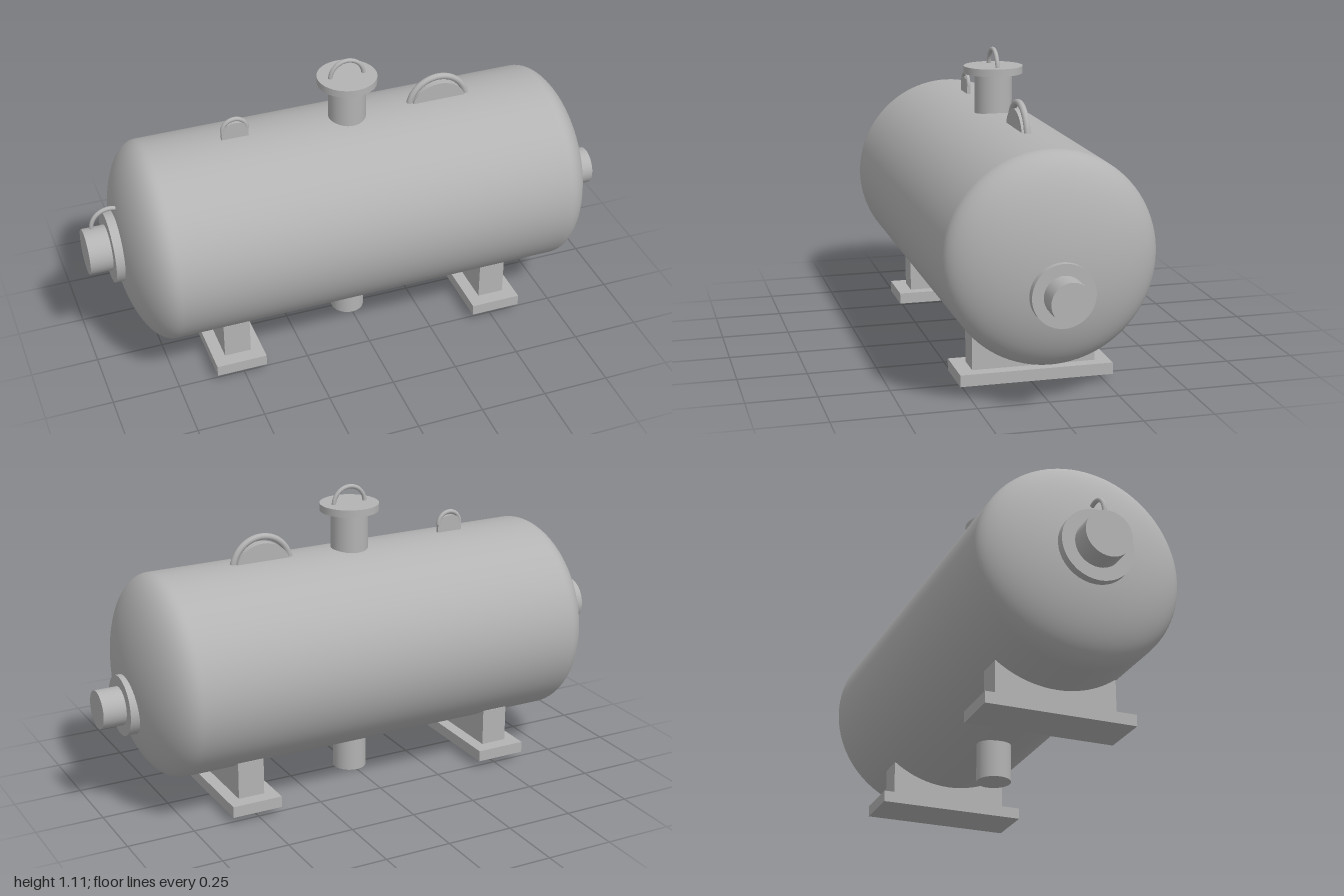
import * as THREE from 'three';

export function createModel() {
  const model = new THREE.Group();
  model.name = 'pressureVessel';
  const steel = new THREE.MeshStandardMaterial({ color: 0xb3b3b3 });
  steel.name = 'grey steel';

  const add = (name, geometry, x, y, z = 0) => {
    const mesh = new THREE.Mesh(geometry, steel);
    mesh.name = name;
    mesh.position.set(x, y, z);
    model.add(mesh);
    return mesh;
  };
  // Cylinder spanning a..b along x or y
  const pipeX = (name, r, a, b, y) =>
    add(name, new THREE.CylinderGeometry(r, r, b - a, 40).rotateZ(Math.PI / 2), (a + b) / 2, y);
  const pipeY = (name, r, a, b, x) =>
    add(name, new THREE.CylinderGeometry(r, r, b - a, 40), x, (a + b) / 2);
  // Half-ring standing in the xy plane
  const ring = (name, r, tube, x, y) =>
    add(name, new THREE.TorusGeometry(r, tube, 12, 36, Math.PI), x, y);

  // Shell
  const R = 0.37, CY = 0.506, HALF = 0.745, DISH = 0.15;
  add('shell', new THREE.CylinderGeometry(R, R, HALF * 2, 96, 1, true).rotateZ(Math.PI / 2), 0, CY);

  // Elliptical heads
  const profile = [];
  for (let i = 0; i <= 24; i++) {
    const t = (i / 24) * Math.PI / 2;
    profile.push(new THREE.Vector2(i === 24 ? 0 : R * Math.cos(t), DISH * Math.sin(t)));
  }
  for (const side of [-1, 1]) {
    add(side > 0 ? 'leftHead' : 'rightHead',
      new THREE.LatheGeometry(profile, 96).rotateZ(-side * Math.PI / 2), side * HALF, CY);
  }

  // End nozzles
  pipeX('leftFlange', 0.11, 0.86, 0.915, 0.42);
  pipeX('leftNozzle', 0.07, 0.87, 1, 0.42);
  pipeX('rightFlange', 0.131, -0.917, -0.86, 0.511);
  pipeX('rightNozzle', 0.084, -1, -0.87, 0.511);
  ring('rightNozzleHandle', 0.069, 0.008, -0.9, 0.61);

  // Top nozzle with lidded flange, and drain
  pipeY('topNozzle', 0.069, 0.8, 1.02, 0);
  pipeY('topFlange', 0.109, 1.016, 1.043, 0);
  ring('topHandle', 0.063, 0.008, 0, 1.04);
  pipeY('drain', 0.063, 0, 0.2, 0);

  // Lifting lugs: a ring over a rounded plate
  const lugPlate = (name, halfWidth, height, depth, x, y) => {
    const s = new THREE.Shape();
    s.moveTo(-halfWidth, -0.05);
    s.lineTo(halfWidth, -0.05);
    s.lineTo(halfWidth, 0);
    s.absellipse(0, 0, halfWidth, height, 0, Math.PI, false);
    s.closePath();
    add(name, new THREE.ExtrudeGeometry(s, { depth, bevelEnabled: false, curveSegments: 24 }),
      x, y, -depth / 2);
  };
  ring('smallLugRing', 0.046, 0.008, -0.425, 0.905);
  lugPlate('smallLugPlate', 0.05, 0.032, 0.014, -0.425, 0.905);
  ring('largeLugRing', 0.113, 0.012, 0.355, 0.85);
  lugPlate('largeLugPlate', 0.106, 0.092, 0.036, 0.355, 0.85);

  // Saddles
  for (const side of [-1, 1]) {
    const label = side > 0 ? 'left' : 'right';
    add(label + 'SaddleWeb', new THREE.BoxGeometry(0.1, 0.148, 0.444), side * 0.513, 0.134);
    add(label + 'SaddleBase', new THREE.BoxGeometry(0.19, 0.042, 0.55), side * 0.513, 0.05);
  }
  return model;
}
